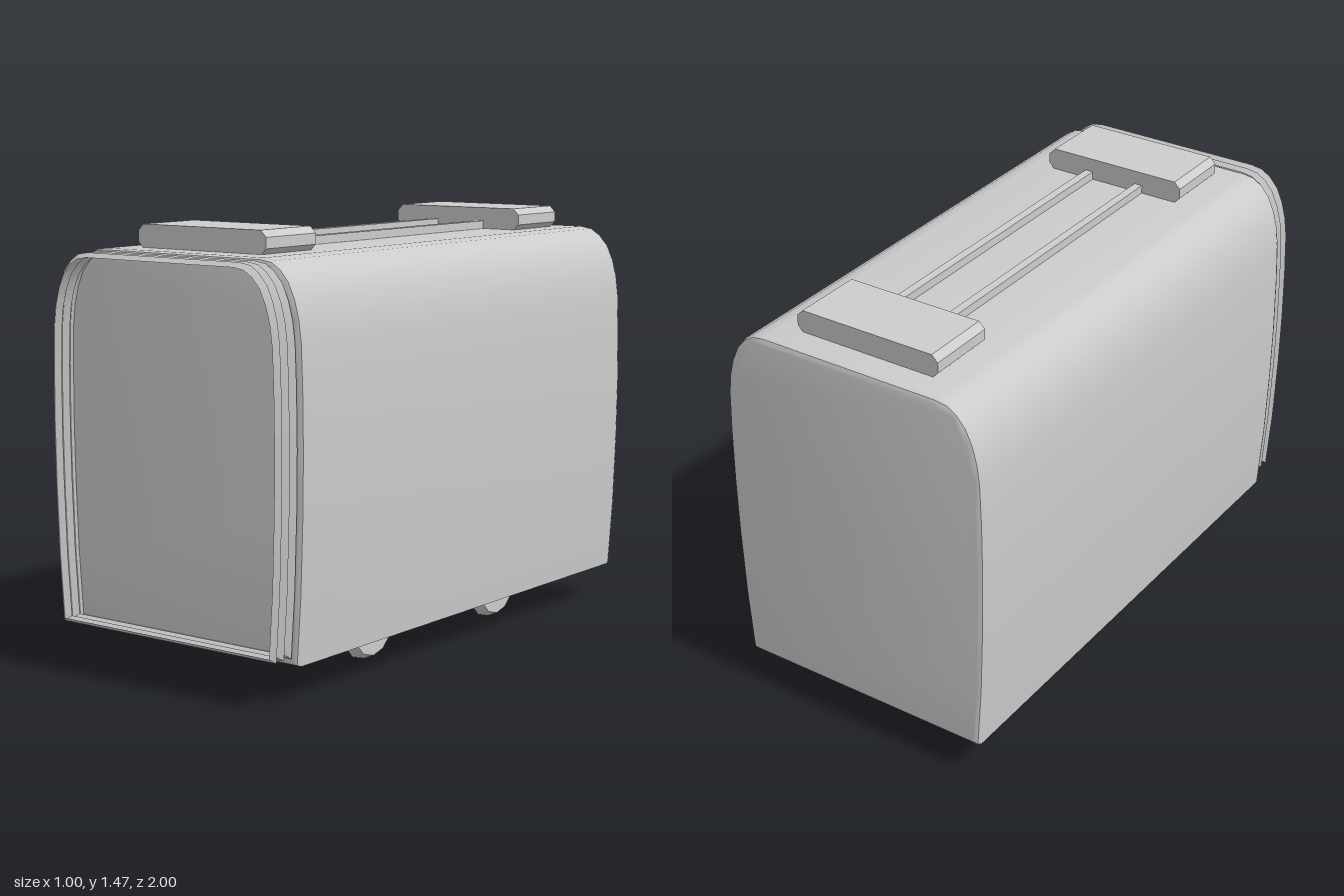
import * as THREE from 'three';
import { toCreasedNormals } from 'three/addons/utils/BufferGeometryUtils.js';

const grey = new THREE.MeshStandardMaterial({ color: 0xcccccc, side: THREE.DoubleSide });
grey.name = 'light grey';

// Right half of the carriage cross-section, floor to roof
const HALF = [
  [0.472, 0.12], [0.488, 0.35], [0.497, 0.6], [0.5, 0.8], [0.498, 1.0], [0.493, 1.14],
  [0.484, 1.21], [0.468, 1.27], [0.443, 1.325], [0.41, 1.362], [0.375, 1.384], [0.33, 1.391],
];
const OUTLINE = [...HALF, ...HALF.map(([x, y]) => [-x, y]).reverse()];

function add(parent, name, geometry, x = 0, y = 0, z = 0) {
  const mesh = new THREE.Mesh(geometry, grey);
  mesh.name = name;
  mesh.position.set(x, y, z);
  parent.add(mesh);
  return mesh;
}

// Pleated open sleeve made from scaled copies of the cross-section
function bellowsGeometry() {
  const folds = 6, n = OUTLINE.length, pos = [], index = [];
  for (let k = 0; k <= folds; k++) {
    const inset = k % 2 ? 0.018 : 0.033;
    for (const [x, y] of OUTLINE) {
      pos.push(x * (1 - inset / 0.5), 0.765 + (y - 0.755) * (1 - inset / 0.635), 0.89 + 0.11 * k / folds);
    }
  }
  for (let k = 0; k < folds; k++) {
    for (let i = 0; i < n; i++) {
      const a = k * n + i, b = k * n + (i + 1) % n;
      index.push(a, b, b + n, a, b + n, a + n);
    }
  }
  const g = new THREE.BufferGeometry();
  g.setAttribute('position', new THREE.Float32BufferAttribute(pos, 3));
  g.setIndex(index);
  return toCreasedNormals(g, 0.5);
}

// Flat roof block with clipped corners
function roofBlockGeometry(w, h, d, c) {
  const shape = new THREE.Shape([
    [-w + c, 0], [w - c, 0], [w, c], [w, h - c], [w - c, h], [-w + c, h], [-w, h - c], [-w, c],
  ].map(p => new THREE.Vector2(...p)));
  return new THREE.ExtrudeGeometry(shape, { depth: d, bevelEnabled: false }).translate(0, 0, -d / 2);
}

export function createModel() {
  const model = new THREE.Group();
  model.name = 'railCarriage';

  // Body shell with softened end edges
  const section = new THREE.Shape(OUTLINE.map(p => new THREE.Vector2(...p)));
  const body = new THREE.ExtrudeGeometry(section, {
    depth: 1.86, bevelThickness: 0.02, bevelSize: 0.018, bevelOffset: -0.018, bevelSegments: 2,
  });
  add(model, 'body', toCreasedNormals(body, 0.55), 0, 0, -0.98);
  add(model, 'bellows', bellowsGeometry());

  // Roof units joined by two rails
  const block = roofBlockGeometry(0.27, 0.08, 0.25, 0.022);
  for (const z of [0.67, -0.77]) add(model, 'roofUnit', block, 0, 1.388, z);
  const rail = new THREE.BoxGeometry(0.03, 0.04, 1.2);
  for (const x of [-0.102, 0.102]) add(model, 'roofRail', rail, x, 1.4, -0.05);

  // Axles and flanged wheels, lower halves showing under the floor
  const profile = [[0, 0.34], [0.108, 0.34], [0.12, 0.312], [0.125, 0.3], [0.115, 0.29], [0, 0.287]]
    .map(p => new THREE.Vector2(...p)).reverse();
  const wheel = toCreasedNormals(new THREE.LatheGeometry(profile, 12), 0.6).rotateZ(-Math.PI / 2);
  const axle = new THREE.CylinderGeometry(0.013, 0.013, 0.74, 8).rotateZ(Math.PI / 2);
  for (const z of [0.325, -0.425]) {
    const set = new THREE.Group();
    set.name = 'wheelSet';
    set.position.set(0, 0.125, z);
    add(set, 'axle', axle);
    add(set, 'leftWheel', wheel);
    add(set, 'rightWheel', wheel).rotation.y = Math.PI;
    model.add(set);
  }
  return model;
}
